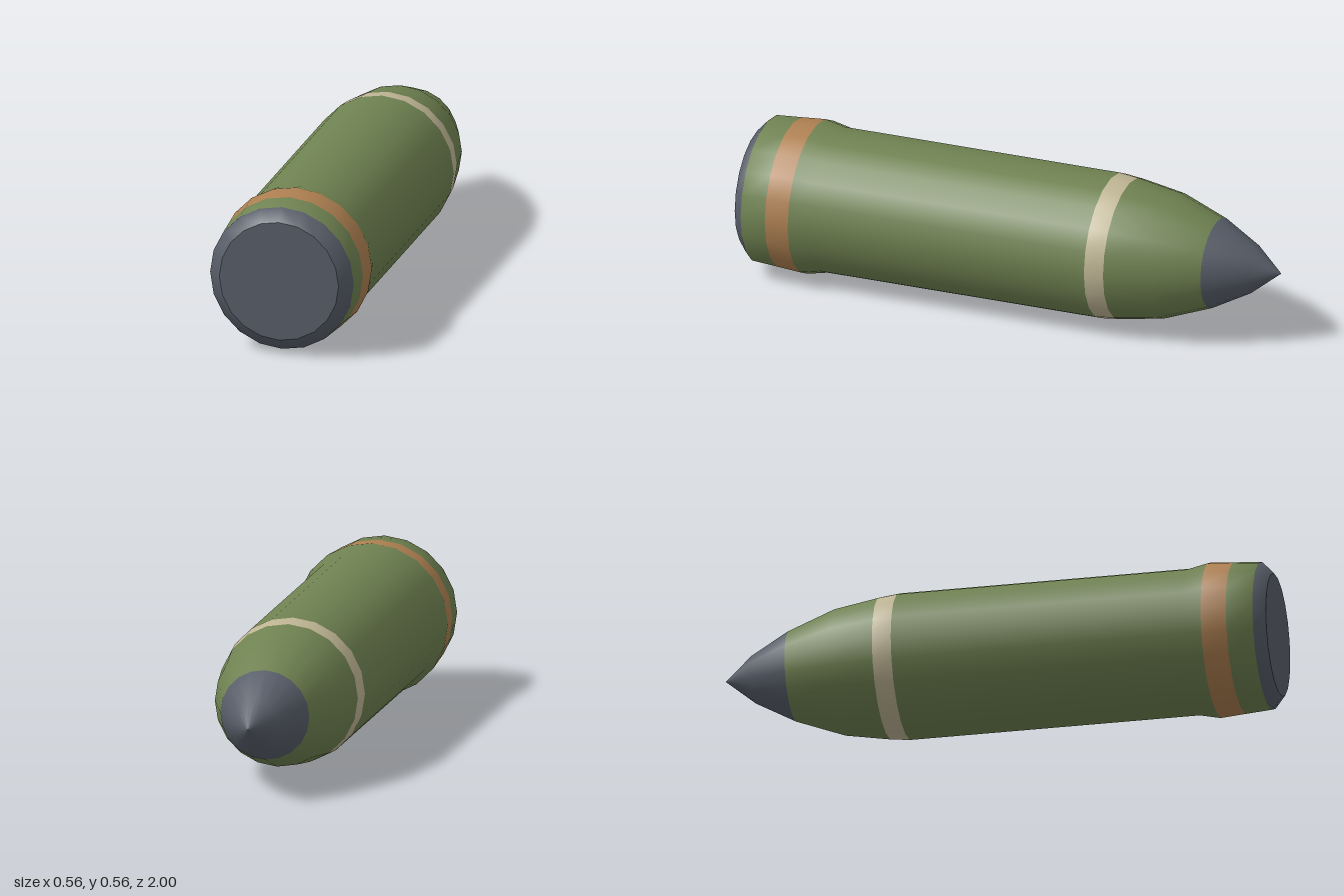
import * as THREE from 'three';

const SIDES = 20;
const AXIS_Y = 0.28;

const material = (name, color) => {
  const m = new THREE.MeshStandardMaterial({ color });
  m.name = name;
  return m;
};

export function createModel() {
  const green = material('olive green', 0x6f8251);
  const grey = material('slate grey', 0x585e69);
  const copper = material('copper', 0xae8051);
  const cream = material('cream', 0xbfb594);

  // Profile from tip to base as [radius, z]
  const profile = [
    [0, -1], [0.087, -0.895], [0.163, -0.755], [0.228, -0.58], [0.255, -0.42],
    [0.263, -0.35], [0.263, 0.7], [0.279, 0.775], [0.272, 0.865], [0.265, 0.96], [0.22, 1],
  ];
  const shell = new THREE.LatheGeometry(profile.map(([r, z]) => new THREE.Vector2(r, z)), SIDES);
  shell.rotateX(Math.PI / 2);

  const group = new THREE.Group();
  group.name = 'shell';
  const add = (name, geometry, mat) => {
    const mesh = new THREE.Mesh(geometry, mat);
    mesh.name = name;
    mesh.position.y = AXIS_Y;
    group.add(mesh);
    return mesh;
  };

  // Each band takes its own rings of the shell and shares its smooth normals
  const rings = profile.length - 1;
  const source = shell.getIndex().array;
  const band = (name, from, to, mat) => {
    const index = [];
    for (let side = 0; side < SIDES; side++) {
      const start = side * rings * 6;
      index.push(...source.slice(start + from * 6, start + to * 6));
    }
    const geometry = shell.clone();
    geometry.setIndex(index);
    add(name, geometry, mat);
  };

  band('noseTip', 0, 2, grey);
  band('nose', 2, 4, green);
  band('noseStripe', 4, 5, cream);
  band('body', 5, 7, green);
  band('drivingBand', 7, 8, copper);
  band('rearBody', 8, 9, green);
  band('baseBevel', 9, 10, grey);

  // Flat base, facing the front
  add('base', new THREE.CircleGeometry(0.22, SIDES), grey).position.z = 1;

  return group;
}
